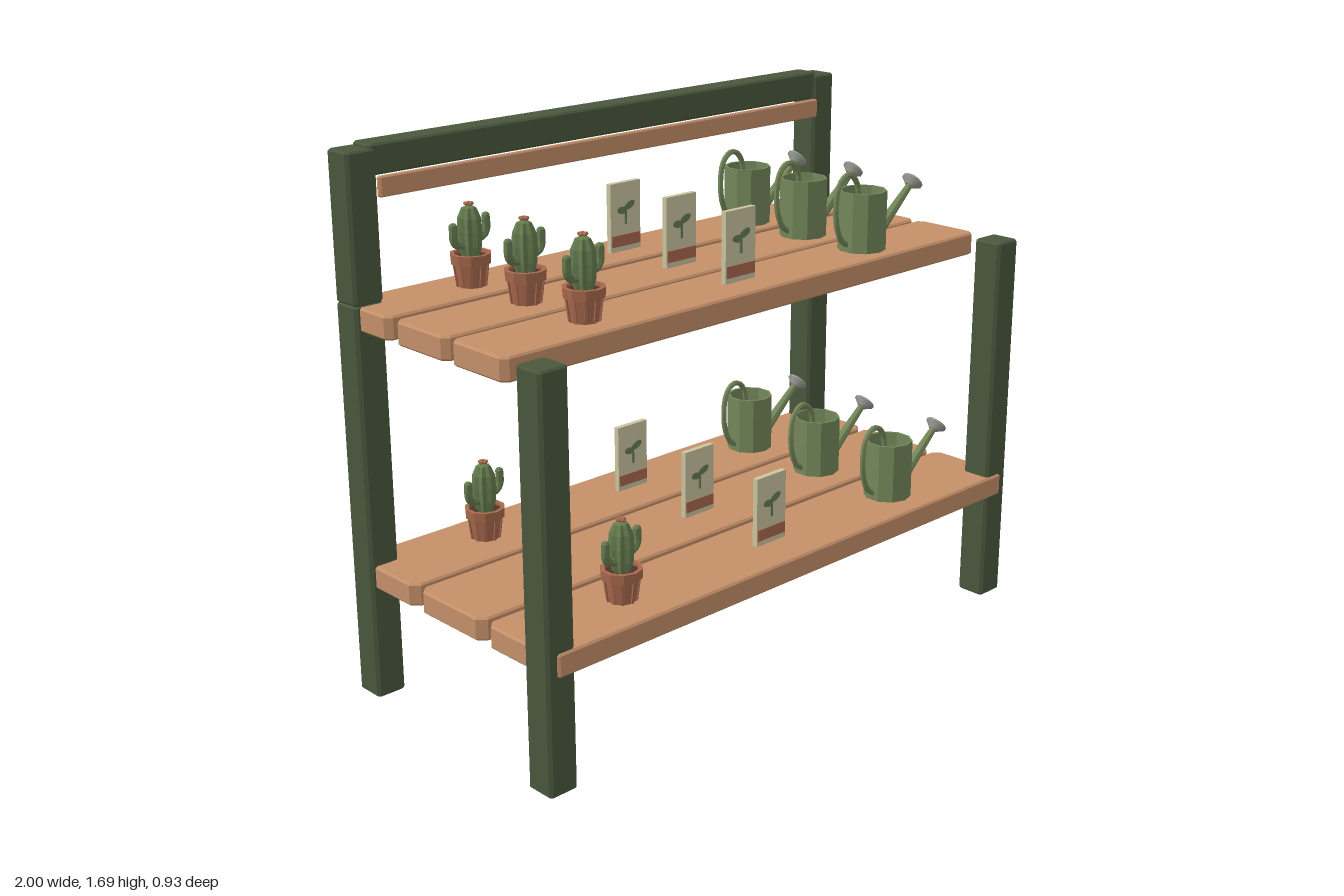
import * as THREE from 'three';

const mat = (name, color, extra = {}) => {
  const m = new THREE.MeshStandardMaterial({ color, ...extra });
  m.name = name;
  return m;
};

export function createModel() {
  const model = new THREE.Group();
  model.name = 'plantStand';
  const M = {
    wood: mat('wood', 0xc49069),
    frame: mat('frameGreen', 0x4a573c),
    can: mat('canGreen', 0x74875a, { flatShading: true }),
    cactus: mat('cactusGreen', 0x667d50, { flatShading: true }),
    clay: mat('terracotta', 0xa9694d, { flatShading: true }),
    soil: mat('soil', 0x4a3528),
    paper: mat('paper', 0xcbc4a0),
    metal: mat('metal', 0x9b9b95),
    dark: mat('holes', 0x33352f),
  };

  const add = (parent, name, geo, material, x = 0, y = 0, z = 0) => {
    const mesh = new THREE.Mesh(geo, material);
    mesh.name = name;
    mesh.position.set(x, y, z);
    parent.add(mesh);
    return mesh;
  };

  // Slab standing on y = 0 with cut corners and a small bevel on its edges
  const slab = (w, h, d, cut, b = 0.006) => {
    const X = w / 2 - b, Z = d / 2 - b;
    const pts = [[X, -Z + cut], [X, Z - cut], [X - cut, Z], [-X + cut, Z],
      [-X, Z - cut], [-X, -Z + cut], [-X + cut, -Z], [X - cut, -Z]];
    const shape = new THREE.Shape(pts.map(p => new THREE.Vector2(...p)));
    const geo = new THREE.ExtrudeGeometry(shape, {
      depth: h - 2 * b, bevelEnabled: true, bevelSize: b, bevelThickness: b, bevelSegments: 1,
    });
    return geo.translate(0, 0, b).rotateX(-Math.PI / 2);
  };

  // Posts, with the back ones made of two stacked pieces
  for (const s of [-1, 1]) {
    const side = s > 0 ? 'left' : 'right';
    add(model, side + 'FrontPost', slab(0.1, 1.235, 0.1, 0.006), M.frame, s * 0.95, 0, 0.408);
    add(model, side + 'BackPostLower', slab(0.1, 1.235, 0.1, 0.006), M.frame, s * 0.95, 0, -0.408);
    add(model, side + 'BackPostUpper', slab(0.1, 0.443, 0.1, 0.006), M.frame, s * 0.95, 1.235, -0.408);
  }

  // Top rail and the batten below it
  add(model, 'topRail', slab(1.84, 0.09, 0.085, 0.006), M.frame, 0, 1.6, -0.408);
  add(model, 'batten', slab(1.81, 0.06, 0.02, 0.004, 0.004), M.wood, 0, 1.54, -0.352);

  // Potted cactus
  const makeCactus = () => {
    const g = new THREE.Group();
    g.name = 'cactus';
    add(g, 'pot', new THREE.CylinderGeometry(0.053, 0.043, 0.075, 10), M.clay, 0, 0.0375, 0);
    const rim = [[0.05, 0.07], [0.061, 0.07], [0.063, 0.1], [0.05, 0.1], [0.05, 0.085]];
    add(g, 'potRim', new THREE.LatheGeometry(rim.map(p => new THREE.Vector2(...p)), 10), M.clay);
    add(g, 'soil', new THREE.CylinderGeometry(0.051, 0.051, 0.01, 10), M.soil, 0, 0.085, 0);
    // Raised staves round the pot
    for (let i = 0; i < 10; i++) {
      const a = (i / 10) * Math.PI * 2;
      const stave = add(g, 'potRib', new THREE.BoxGeometry(0.008, 0.07, 0.006), M.clay,
        Math.sin(a) * 0.048, 0.036, Math.cos(a) * 0.048);
      stave.rotation.order = 'YXZ';
      stave.rotation.set(0.13, a, 0);
    }
    // Ribbed trunk: every second ring vertex pulled inward
    const body = [[0.026, 0.085], [0.035, 0.12], [0.038, 0.165], [0.035, 0.205], [0.022, 0.235], [0.0, 0.244]];
    const trunk = new THREE.LatheGeometry(body.map(p => new THREE.Vector2(...p)), 16);
    const pos = trunk.attributes.position;
    for (let i = 0; i < pos.count; i++) {
      if (Math.floor(i / body.length) % 2) {
        pos.setX(i, pos.getX(i) * 0.8);
        pos.setZ(i, pos.getZ(i) * 0.8);
      }
    }
    add(g, 'trunk', trunk, M.cactus);
    for (const [s, base, top] of [[-1, 0.125, 0.185], [1, 0.14, 0.2]]) {
      const path = new THREE.CatmullRomCurve3([[0.02, base], [0.045, base + 0.003], [0.059, base + 0.02], [0.06, top]]
        .map(([x, y]) => new THREE.Vector3(s * x, y, 0)));
      add(g, 'arm', new THREE.TubeGeometry(path, 8, 0.013, 7), M.cactus);
      add(g, 'armTip', new THREE.SphereGeometry(0.013, 7, 5), M.cactus, s * 0.06, top, 0);
    }
    // Flower
    for (let i = 0; i < 5; i++) {
      const a = (i / 5) * Math.PI * 2;
      const petal = add(g, 'petal', new THREE.SphereGeometry(0.008, 6, 4), M.clay,
        Math.sin(a) * 0.009, 0.247, Math.cos(a) * 0.009);
      petal.scale.y = 0.7;
    }
    return g;
  };

  // Seed packet with a printed sprout and band on its front
  const makePacket = () => {
    const g = new THREE.Group();
    g.name = 'seedPacket';
    add(g, 'packet', new THREE.BoxGeometry(0.124, 0.22, 0.018), M.paper, 0, 0.11, 0);
    add(g, 'band', new THREE.BoxGeometry(0.118, 0.036, 0.004), M.clay, 0, 0.035, 0.01);
    add(g, 'stem', new THREE.BoxGeometry(0.008, 0.045, 0.004), M.cactus, 0, 0.108, 0.01);
    for (const [x, y, w, tilt] of [[0.015, 0.145, 0.024, 0.4], [-0.016, 0.132, 0.02, -0.15]]) {
      const leaf = add(g, 'leaf', new THREE.CylinderGeometry(1, 1, 0.004, 10).rotateX(Math.PI / 2), M.cactus, x, y, 0.01);
      leaf.scale.set(w, 0.012, 1);
      leaf.rotation.z = tilt;
    }
    return g;
  };

  // Watering can
  const makeCan = () => {
    const g = new THREE.Group();
    g.name = 'wateringCan';
    const wall = [[0, 0], [0.077, 0], [0.077, 0.19], [0.069, 0.19], [0.069, 0.012], [0, 0.012]];
    add(g, 'canBody', new THREE.LatheGeometry(wall.map(p => new THREE.Vector2(...p)), 10), M.can);
    const loop = new THREE.CatmullRomCurve3([[-0.02, 0.17], [-0.03, 0.215], [-0.055, 0.243], [-0.085, 0.245],
      [-0.115, 0.215], [-0.126, 0.15], [-0.118, 0.085], [-0.095, 0.04], [-0.068, 0.022]]
      .map(([x, y]) => new THREE.Vector3(x, y, 0)));
    add(g, 'handle', new THREE.TubeGeometry(loop, 24, 0.009, 6), M.can);
    // Spout and rose share one tilted axis
    const spout = new THREE.Group();
    spout.name = 'spout';
    spout.position.set(0.06, 0.025, 0);
    spout.rotation.z = -0.86;
    g.add(spout);
    add(spout, 'spoutPipe', new THREE.CylinderGeometry(0.011, 0.02, 0.22, 8), M.can, 0, 0.11, 0);
    add(spout, 'rose', new THREE.CylinderGeometry(0.036, 0.014, 0.02, 12), M.metal, 0, 0.228, 0);
    add(spout, 'roseFace', new THREE.CylinderGeometry(0.036, 0.036, 0.006, 12), M.metal, 0, 0.24, 0);
    for (let i = 0; i < 8; i++) {
      const a = (i / 7) * Math.PI * 2, r = i < 7 ? 0.023 : 0;
      add(spout, 'roseHole', new THREE.CylinderGeometry(0.004, 0.004, 0.002, 6), M.dark,
        Math.cos(a) * r, 0.2435, Math.sin(a) * r);
    }
    return g;
  };

  // Two shelves of three planks, each plank carrying the same three items
  const shelves = [
    { name: 'lowerShelf', y: 0.36, depth: 0.295, cut: 0.022, zs: [0.3175, 0.0025, -0.3125] },
    { name: 'upperShelf', y: 1.16, depth: 0.235, cut: 0.016, zs: [0.1775, -0.0775, -0.3425] },
  ];
  for (const s of shelves) {
    const shelf = new THREE.Group();
    shelf.name = s.name;
    shelf.position.y = s.y;
    model.add(shelf);
    for (const z of s.zs) {
      add(shelf, 'plank', slab(1.97, 0.072, s.depth, s.cut), M.wood, 0, 0, z);
      for (const [item, x] of [[makeCactus(), -0.607], [makePacket(), -0.003], [makeCan(), 0.552]]) {
        item.position.set(x, 0.072, z < -0.34 ? -0.333 : z);
        shelf.add(item);
      }
    }
  }
  return model;
}
